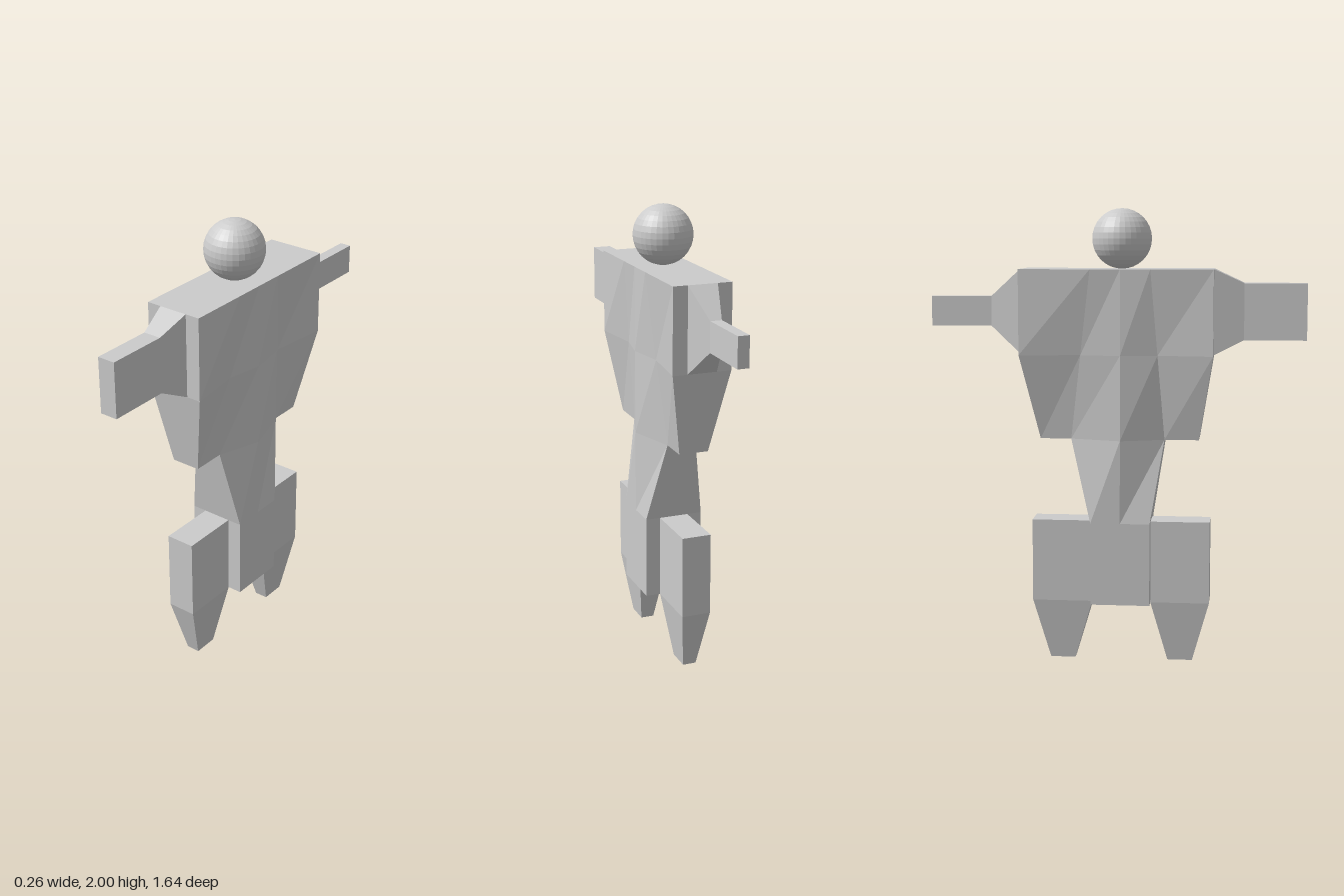
import * as THREE from 'three';

const material = new THREE.MeshStandardMaterial({ color: 0xcccccc, flatShading: true });

// Closed solid through rings of points, each counter-clockwise about the stacking direction
function loft(name, rings) {
  const pos = [];
  const tri = (...pts) => pts.forEach((p) => pos.push(...p));
  const n = rings[0].length;
  const middle = (ring) => [0, 1, 2].map((k) => ring.reduce((s, p) => s + p[k], 0) / n);
  const first = rings[0], last = rings[rings.length - 1];
  for (let j = 0; j < n; j++) {
    const k = (j + 1) % n;
    for (let i = 0; i < rings.length - 1; i++) {
      const lo = rings[i], hi = rings[i + 1];
      tri(lo[j], lo[k], hi[k]);
      tri(lo[j], hi[k], hi[j]);
    }
    tri(middle(first), first[k], first[j]);
    tri(middle(last), last[j], last[k]);
  }
  const geometry = new THREE.BufferGeometry();
  geometry.setAttribute('position', new THREE.Float32BufferAttribute(pos, 3));
  geometry.computeVertexNormals();
  const mesh = new THREE.Mesh(geometry, material);
  mesh.name = name;
  return mesh;
}

// Level ring mirrored in x, from [z, half width] stations running front to back
const level = (y, stations) => [
  ...stations.map(([z, w]) => [w, y, z]),
  ...[...stations].reverse().map(([z, w]) => [-w, y, z]),
];

// Upright rectangle at depth z, for the arms
const upright = (z, w, y0, y1) => [[-w, y0, z], [w, y0, z], [w, y1, z], [-w, y1, z]];

export function createModel() {
  const group = new THREE.Group();

  // Chest: wide shoulders, pinched at the lower corners, with a ridge down each side
  group.add(loft('chest', [
    level(1.0, [[0.36, 0.065], [0.21, 0.065], [0.02, 0.13], [-0.2, 0.065], [-0.335, 0.065]]),
    level(1.37, [[0.42, 0.13], [0.18, 0.1], [0.02, 0.13], [-0.155, 0.1], [-0.42, 0.13]]),
    level(1.74, [[0.42, 0.13], [0.15, 0.13], [0.02, 0.13], [-0.11, 0.13], [-0.42, 0.13]]),
  ]));

  // Waist and hips
  group.add(loft('waist', [
    level(0.27, [[0.15, 0.13], [0.02, 0.13], [-0.11, 0.13]]),
    level(0.635, [[0.15, 0.13], [0.02, 0.13], [-0.11, 0.13]]),
    level(1.0, [[0.21, 0.065], [0.02, 0.13], [-0.2, 0.065]]),
  ]));

  // Arms: tapered shoulder, then a straight bar; the rear one is thinner
  group.add(loft('frontArm', [
    upright(0.42, 0.065, 1.37, 1.74),
    upright(0.55, 0.04, 1.435, 1.68),
    upright(0.82, 0.04, 1.435, 1.68),
  ]));
  group.add(loft('rearArm', [
    upright(-0.82, 0.025, 1.49, 1.62),
    upright(-0.555, 0.025, 1.49, 1.62),
    upright(-0.42, 0.065, 1.37, 1.74),
  ]));

  // Legs: block thigh over a tapered foot, [front z, back z] at top and sole
  for (const [name, top, sole] of [
    ['frontLeg', [0.41, 0.15], [0.335, 0.225]],
    ['rearLeg', [-0.11, -0.375], [-0.19, -0.3]],
  ]) {
    const ring = (y, zs, w) => level(y, zs.map((z) => [z, w]));
    group.add(loft(name, [ring(0, sole, 0.03), ring(0.27, top, 0.065), ring(0.635, top, 0.065)]));
  }

  // Head
  const head = new THREE.Mesh(new THREE.SphereGeometry(0.13, 32, 16), material);
  head.name = 'head';
  head.position.set(0, 1.87, 0.018);
  group.add(head);

  return group;
}
